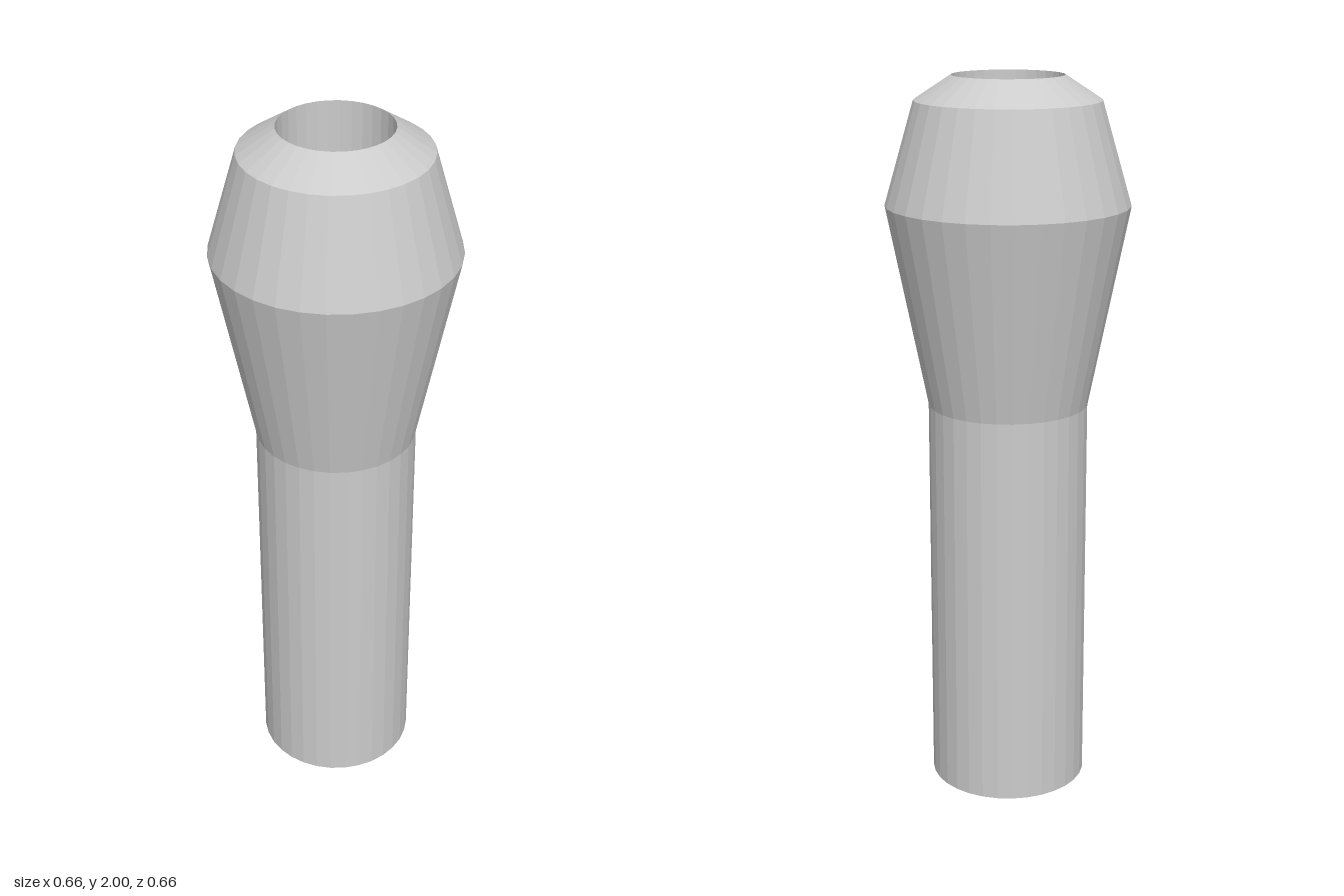
import * as THREE from 'three';

const SIDES = 32;
const material = new THREE.MeshStandardMaterial({ color: 0xcccccc, flatShading: true });

// Turns a [radius, height] profile around the y axis
function turned(name, profile) {
  const points = profile.map(([r, y]) => new THREE.Vector2(r, y));
  const mesh = new THREE.Mesh(new THREE.LatheGeometry(points, SIDES), material);
  mesh.name = name;
  return mesh;
}

export function createModel() {
  const group = new THREE.Group();
  group.name = 'socketedPost';

  const shaftRadius = 0.22, neckY = 1.11;
  const boreRadius = 0.15, boreFloorY = 1.11;

  // Straight shaft with a closed base
  group.add(turned('shaft', [[0, 0], [shaftRadius, 0], [shaftRadius, neckY]]));

  // Flared head: widening cone, tapering cone, bevelled rim
  group.add(turned('head', [
    [shaftRadius, neckY], [0.33, 1.66], [0.25, 1.935], [boreRadius, 2],
  ]));

  // Blind bore sunk into the head, facing inward
  group.add(turned('bore', [[boreRadius, 2], [boreRadius, boreFloorY], [0, boreFloorY]]));

  return group;
}
